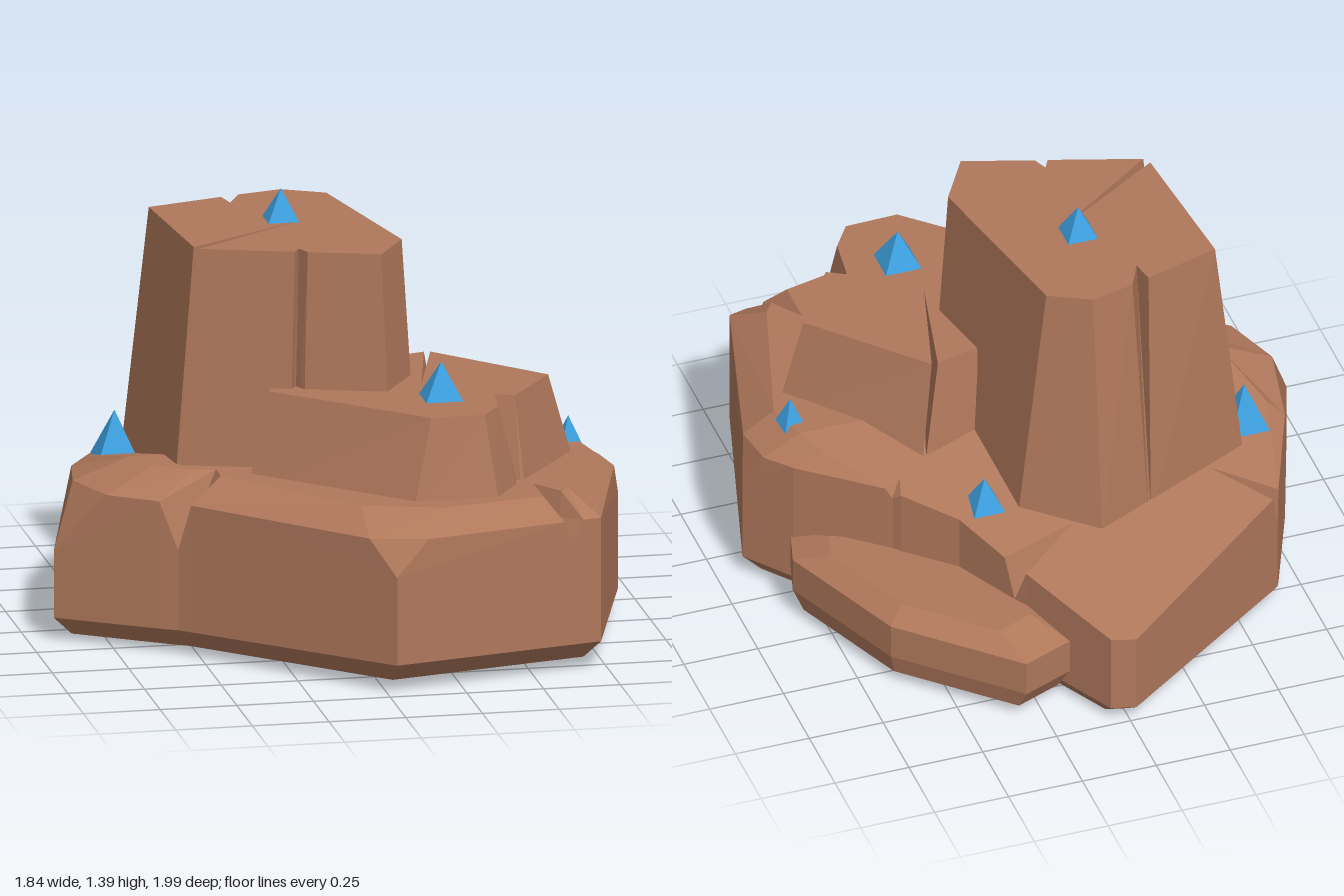
import * as THREE from 'three';

// Skins a stack of rings (each a loop of [x, y, z], counter-clockwise from above)
// and closes it; the top may be split into several flat caps.
function loft(name, rings, material, topCaps) {
  const pos = [];
  const tri = (a, b, c) => pos.push(...a, ...b, ...c);
  const n = rings[0].length;
  for (let k = 0; k < rings.length - 1; k++) {
    const lo = rings[k], hi = rings[k + 1];
    for (let i = 0; i < n; i++) {
      const j = (i + 1) % n;
      tri(lo[i], lo[j], hi[j]);
      tri(lo[i], hi[j], hi[i]);
    }
  }
  const cap = (loop, flip) => {
    const contour = loop.map(p => new THREE.Vector2(p[0], -p[2]));
    for (const [a, b, c] of THREE.ShapeUtils.triangulateShape(contour, [])) {
      if (flip) tri(loop[a], loop[c], loop[b]);
      else tri(loop[a], loop[b], loop[c]);
    }
  };
  cap(rings[0], true);
  (topCaps || [rings[rings.length - 1]]).forEach(loop => cap(loop, false));
  const geo = new THREE.BufferGeometry();
  geo.setAttribute('position', new THREE.Float32BufferAttribute(pos, 3));
  geo.computeVertexNormals();
  const mesh = new THREE.Mesh(geo, material);
  mesh.name = name;
  return mesh;
}

// Tapered column of rock from rows of [bottom x, bottom z, top x, top z]
function taperedRock(name, rows, y0, y1, material) {
  return loft(name, [rows.map(r => [r[0], y0, r[1]]), rows.map(r => [r[2], y1, r[3]])], material);
}

// Wide base: level at the front, sloping down to the back
function makeBase(material) {
  const topY = z => 0.58 - 0.245 * Math.max(0, 0.06 - z);
  // bevelled front half: outer x, z, side height | bevel x, y, z | top x, z
  const front = [
    [-0.92, 0.13, 0.30, -0.84, 0.505, 0.04, -0.66, 0.06],
    [-0.92, 0.13, 0.30, -0.77, 0.505, 0.235, -0.60, 0.17],
    [-0.62, 0.345, 0.505, -0.62, 0.505, 0.345, -0.50, 0.26],
    [-0.565, 0.38, 0.35, -0.48, 0.47, 0.32, -0.42, 0.27], // crack
    [-0.53, 0.415, 0.505, -0.53, 0.505, 0.415, -0.42, 0.35],
    [0.025, 0.99, 0.39, -0.05, 0.505, 0.915, -0.05, 0.79],
    [0.025, 0.99, 0.39, 0.135, 0.505, 0.96, 0.21, 0.865],
    [0.60, 0.846, 0.505, 0.60, 0.505, 0.846, 0.54, 0.79],
    [0.63, 0.84, 0.43, 0.60, 0.50, 0.76, 0.54, 0.64], // crack
    [0.665, 0.83, 0.505, 0.665, 0.505, 0.83, 0.61, 0.74],
    [0.725, 0.815, 0.505, 0.725, 0.505, 0.815, 0.64, 0.70],
    [0.92, 0.13, 0.39, 0.89, 0.505, 0.21, 0.79, 0.20],
    [0.92, 0.13, 0.39, 0.87, 0.505, 0.07, 0.75, 0.06],
  ];
  // plain back half: outer x, z | top x, z (inset rows are cracks and bevels)
  const back = [
    [0.80, -0.02, 0.70, -0.03], [0.56, -0.22], [0.54, -0.235, 0.50, -0.19], [0.52, -0.26],
    [0.37, -0.40], [0.28, -0.58], [0.26, -0.62, 0.02, -0.50], [0.235, -0.66],
    [0.145, -0.825], [0.06, -0.98], [-0.02, -1.0], [-0.63, -0.575],
    [-0.65, -0.56, -0.475, -0.40], [-0.66, -0.54], [-0.79, -0.23, -0.74, -0.19],
  ].map(([x, z, tx = x, tz = z]) => {
    const y = topY(z) - 0.5 * Math.hypot(tx - x, tz - z);
    return [x, z, y, x, y, z, tx, tz];
  });
  const rows = [...front, ...back];
  const top = rows.map(r => [r[6], topY(r[7]), r[7]]);
  const last = front.length - 1;
  return loft('baseRock', [
    rows.map(r => [r[0] * 0.935, 0.018 + 0.018 * r[1], r[1] * 0.935]),
    rows.map(r => [r[0], 0.075 + 0.025 * r[1], r[1]]),
    rows.map(r => [r[0], r[2], r[1]]),
    rows.map(r => [r[3], r[4], r[5]]),
    top,
  ], material, [top.slice(0, last + 1), [...top.slice(last), top[0]]]);
}

// Low slab leaning against the back left of the base
function makeSlab(material) {
  const outline = [[0.80, 0.01], [0.84, -0.13], [0.66, -0.565], [0.315, -0.895],
    [0.145, -0.825], [0.1, -0.5], [0.3, -0.2]];
  const ring = (y, s) => outline.map(([x, z]) => [0.48 + (x - 0.48) * s, y, -0.42 + (z + 0.42) * s]);
  return loft('lowSlab', [ring(0.04, 0.92), ring(0.11, 1), ring(0.23, 1), ring(0.28, 0.72)], material);
}

export function createModel() {
  const rock = new THREE.MeshStandardMaterial({ color: 0xb0785b });
  const crystalBlue = new THREE.MeshStandardMaterial({ color: 0x3c9fde });
  rock.flatShading = true;
  crystalBlue.flatShading = true;

  const group = new THREE.Group();
  group.name = 'rockFormation';
  group.add(makeBase(rock), makeSlab(rock));

  // Tall pillar with a deep gash and two cracks
  group.add(taperedRock('tallPillar', [
    [-0.545, 0.19, -0.47, 0.16], [-0.54, 0.2, -0.05, -0.10], [-0.535, 0.2, -0.455, 0.185],
    [-0.19, 0.31, -0.165, 0.28], [-0.17, 0.285, -0.145, 0.245], [-0.15, 0.32, -0.125, 0.292],
    [0.13, 0.41, 0.10, 0.365], [0.255, 0.21, 0.20, 0.20], [0.175, -0.40, 0.075, -0.395],
    [-0.06, -0.55, -0.06, -0.465],
    [-0.24, -0.483, -0.205, -0.43], [-0.25, -0.478, -0.25, -0.34], [-0.26, -0.475, -0.265, -0.412],
    [-0.615, -0.34, -0.515, -0.34],
  ], 0.41, 1.29, rock));

  // Shorter step in front of the pillar
  group.add(taperedRock('frontStep', [
    [-0.335, 0.35, -0.255, 0.305], [0.115, 0.785, 0.19, 0.725], [0.405, 0.785, 0.365, 0.72],
    [0.50, 0.635, 0.425, 0.632], [0.51, 0.60, 0.445, 0.48], [0.525, 0.60, 0.505, 0.513],
    [0.75, 0.28, 0.66, 0.285],
    [0.40, -0.13, 0.345, -0.058], [0.39, -0.13, 0.24, 0.32], [0.38, -0.127, 0.325, -0.06],
    [0.2, -0.07, 0.215, -0.03], [0, 0, 0, 0], [-0.2, 0.2, -0.2, 0.2],
  ], 0.52, 0.84, rock));

  // Crystals: x, base y, z, width, height, turn
  [
    [-0.13, 1.285, -0.115, 0.105, 0.107, 0],
    [0.27, 0.835, 0.49, 0.125, 0.125, 0],
    [0.27, 0.465, -0.355, 0.105, 0.11, 0],
    [-0.645, 0.495, -0.25, 0.13, 0.155, 0],
    [0.755, 0.53, 0.14, 0.10, 0.13, 0.17],
  ].forEach(([x, y, z, w, h, turn], i) => {
    const geo = new THREE.ConeGeometry(w / Math.SQRT2, h, 4).rotateY(Math.PI / 4 + turn);
    const crystal = new THREE.Mesh(geo, crystalBlue);
    crystal.position.set(x, y + h / 2, z);
    crystal.name = 'crystal' + (i + 1);
    group.add(crystal);
  });
  return group;
}
